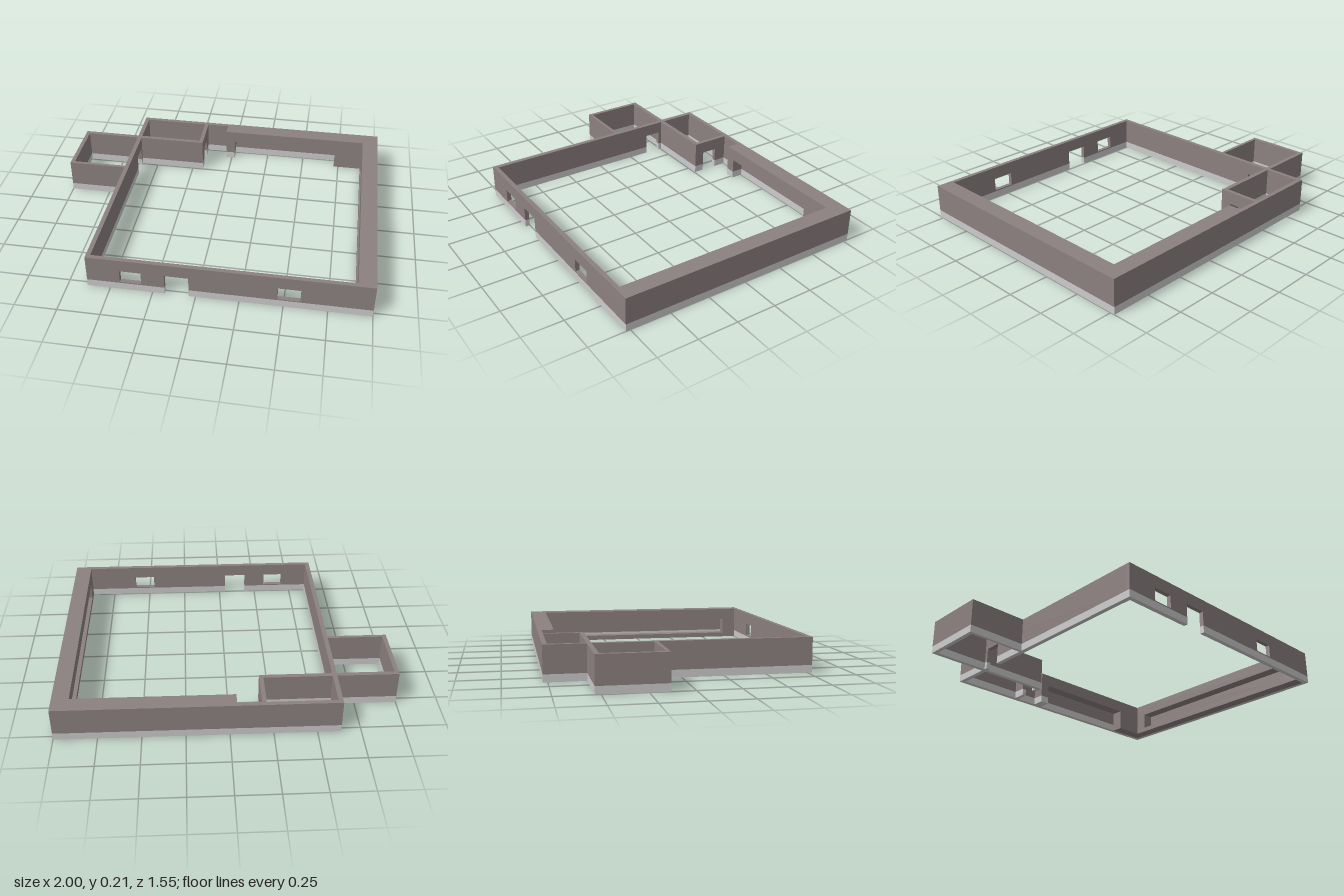
import * as THREE from 'three';

const TOP = 0.21, BASE = 0.045, HEAD = 0.133, T = 0.027;

export function createModel() {
  const model = new THREE.Group();
  const plaster = new THREE.MeshStandardMaterial({ color: 0x8c8080, flatShading: true });
  const stone = new THREE.MeshStandardMaterial({ color: 0xcccccc, flatShading: true });

  // Vertical slab running a..b along an axis, c0..c1 across it,
  // with notches cut up from its lower edge and rectangular holes
  function slab(name, parent, mat, axis, [a, b], [y0, y1], [c0, c1], notches = [], holes = []) {
    // the shape's horizontal coordinate runs along +x, or along -z for z walls
    const s = axis === 'x' ? 1 : -1;
    const [u0, u1] = s > 0 ? [a, b] : [-b, -a];
    const span = ([p, q]) => (s > 0 ? [p, q] : [-q, -p]);
    const shape = new THREE.Shape();
    shape.moveTo(u0, y0);
    notches.map(span).sort((m, n) => m[0] - n[0]).forEach(([p, q]) => {
      shape.lineTo(p, y0);
      shape.lineTo(p, HEAD);
      shape.lineTo(q, HEAD);
      shape.lineTo(q, y0);
    });
    shape.lineTo(u1, y0);
    shape.lineTo(u1, y1);
    shape.lineTo(u0, y1);
    shape.closePath();
    for (const [p, q, h0, h1] of holes) {
      const [l, r] = span([p, q]);
      shape.holes.push(new THREE.Path([
        new THREE.Vector2(l, h0), new THREE.Vector2(l, h1),
        new THREE.Vector2(r, h1), new THREE.Vector2(r, h0),
      ]));
    }
    const geo = new THREE.ExtrudeGeometry(shape, { depth: c1 - c0, bevelEnabled: false });
    geo.translate(0, 0, c0);
    if (axis === 'z') geo.rotateY(Math.PI / 2);
    const mesh = new THREE.Mesh(geo, mat);
    mesh.name = name;
    parent.add(mesh);
  }

  // Plastered wall on a stone base course, which is interrupted at the doors
  function wall(name, axis, run, across, doors = [], windows = []) {
    const group = new THREE.Group();
    group.name = name;
    slab('plaster', group, plaster, axis, run, [BASE, TOP], across, doors, windows);
    let start = run[0];
    for (const [p, q] of [...doors, [run[1], run[1]]]) {
      if (p > start) slab('baseCourse', group, stone, axis, [start, p], [0, BASE], across);
      start = q;
    }
    model.add(group);
  }

  // Main enclosure
  const W = -0.635, E = 1, N = -0.777, S = 0.777;
  wall('frontWall', 'x', [W, E], [S - T, S], [[-0.18, -0.04]],
    [[-0.44, -0.315, 0.052, HEAD], [0.465, 0.595, 0.052, HEAD]]);
  wall('backWall', 'x', [W, E], [N, N + T]);
  wall('leftWall', 'z', [N + T, S - T], [E - T, E]);
  wall('rightWall', 'z', [N + T, S - T], [W, W + T], [[-0.485, -0.38]]);

  // Thick inner lining with a recess along the back wall
  const backAcross = [N + T, -0.675];
  slab('backLining', model, plaster, 'x', [-0.04, 0.9], [BASE, TOP], backAcross, [[0.02, 0.72]]);
  slab('backLiningBase', model, stone, 'x', [-0.04, 0.02], [0, BASE], backAcross);
  slab('backLiningPier', model, plaster, 'x', [0.72, 0.9], [0, BASE], backAcross);

  // Thick inner lining with a long niche along the left wall
  slab('leftLining', model, plaster, 'z', [N + T, S - T], [0, TOP], [0.9, E - T],
    [], [[-0.6, 0.66, 0.03, HEAD]]);

  // Inner corner room
  wall('cornerRoomFront', 'x', [W + T, -0.18], [-0.533, -0.506]);
  wall('cornerRoomSide', 'z', [N + T, -0.533], [-0.205, -0.18], [[-0.67, -0.57]]);

  // Outer annex
  wall('annexBack', 'x', [-1, W], [-0.533, -0.506]);
  wall('annexSide', 'z', [-0.506, -0.135], [-1, -0.975]);
  wall('annexFront', 'x', [-0.975, W], [-0.155, -0.135]);

  return model;
}
